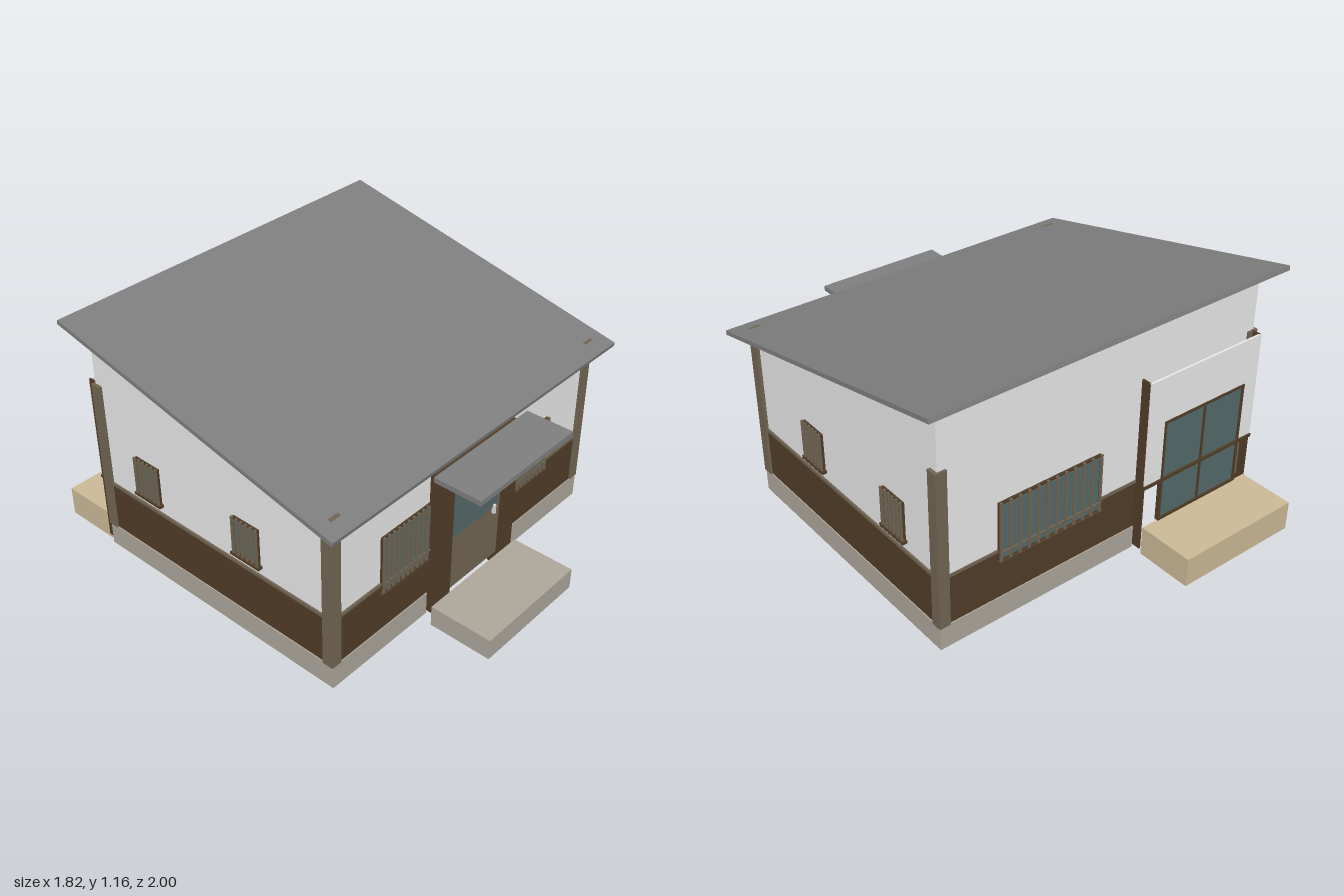
import * as THREE from 'three';

const mat = (name, color, side = THREE.FrontSide) => {
  const m = new THREE.MeshStandardMaterial({ color, side });
  m.name = name;
  return m;
};

export function createModel() {
  const house = new THREE.Group();
  house.name = 'house';
  const white = mat('white plaster', 0xe8e8e8);
  const brown = mat('dark brown', 0x503c28);
  const taupe = mat('taupe wood', 0x706553);
  const grey = mat('roof grey', 0x7e7e7e);
  const stone = mat('stone', 0xaca59a, THREE.DoubleSide);
  const sand = mat('sand step', 0xcab896, THREE.DoubleSide);
  const glass = mat('glass', 0x546868);
  const pale = mat('pale fittings', 0xd8d8d8);

  // Box given by its limits on each axis
  const box = (name, m, [x0, x1], [y0, y1], [z0, z1], parent = house) => {
    const mesh = new THREE.Mesh(new THREE.BoxGeometry(x1 - x0, y1 - y0, z1 - z0), m);
    mesh.position.set((x0 + x1) / 2, (y0 + y1) / 2, (z0 + z1) / 2);
    mesh.name = name;
    parent.add(mesh);
    return mesh;
  };

  // Hollow step without an underside
  const step = (name, m, x, y, z) => {
    const g = box(name, m, x, y, z).geometry;
    const index = Array.from(g.index.array);
    index.splice(18, 6);
    g.clearGroups();
    g.setIndex(index);
  };

  // Foundation, with gaps at the two doors
  const baseY = [0.015, 0.125];
  for (const s of [-1, 1]) {
    box('foundationSide', stone, s < 0 ? [-0.835, -0.82] : [0.82, 0.835], baseY, [-0.685, 0.65]);
    box('foundationFront', stone, s < 0 ? [-0.82, -0.26] : [0.26, 0.82], baseY, [0.635, 0.65]);
  }
  box('foundationBack', stone, [-0.18, 0.82], baseY, [-0.685, -0.67]);

  // Brown lower walls and the trim above them
  const lowY = [0.125, 0.36], trimY = [0.355, 0.369];
  box('lowerWallFront', brown, [-0.83, 0.83], lowY, [0.633, 0.645]);
  box('lowerWallBack', brown, [-0.18, 0.83], lowY, [-0.68, -0.668]);
  box('trimFront', taupe, [-0.8, 0.8], trimY, [0.638, 0.649]);
  box('trimBack', taupe, [-0.18, 0.8], trimY, [-0.685, -0.674]);
  for (const s of [-1, 1]) {
    const span = (a, b) => (s < 0 ? [-b, -a] : [a, b]);
    box('lowerWallSide', brown, span(0.818, 0.83), lowY, [-0.68, 0.645]);
    box('trimSide', taupe, span(0.822, 0.834), trimY, [-0.65, 0.62]);
  }

  // White upper walls; the side walls follow the roof slope
  box('upperWallFront', white, [-0.825, 0.825], [0.36, 0.842], [0.63, 0.64]);
  box('upperWallBack', white, [-0.825, 0.825], [0.36, 1.135], [-0.68, -0.67]);
  const profile = new THREE.Shape([[-0.64, 0.36], [0.68, 0.36], [0.68, 1.135], [-0.64, 0.842]]
    .map(([x, y]) => new THREE.Vector2(x, y)));
  const sideGeo = new THREE.ExtrudeGeometry(profile, { depth: 0.01, bevelEnabled: false });
  for (const x of [-0.825, 0.815]) {
    const wall = new THREE.Mesh(sideGeo, white);
    wall.name = 'upperWallSide';
    wall.rotation.y = Math.PI / 2;
    wall.position.x = x;
    house.add(wall);
  }

  // Corner posts
  for (const s of [-1, 1]) {
    const x = s < 0 ? [-0.84, -0.788] : [0.788, 0.84];
    box('frontPost', taupe, x, [0.125, 0.859], [0.6, 0.652]);
    box('backPost', taupe, x, [0.125, 0.86], [-0.69, -0.64]);
  }

  // Sloping roof
  const rise = 0.325, run = 1.485;
  const roof = new THREE.Mesh(new THREE.BoxGeometry(1.82, 0.02, Math.hypot(rise, run)), grey);
  roof.name = 'roof';
  roof.rotation.x = Math.atan2(rise, run);
  roof.position.set(0, 0.9925, -0.02);
  house.add(roof);

  // Barred window, built facing +z and then turned onto its wall
  const barredWindow = (x, z, turn, w, y0, bars) => {
    const g = new THREE.Group();
    g.name = 'barredWindow';
    const h = w / 2, top = 0.6;
    box('windowFrame', brown, [-h, h], [y0, top - 0.005], [-0.03, 0.009], g);
    box('windowGlass', glass, [-h + 0.012, h - 0.012], [y0 + 0.015, top - 0.018], [-0.034, 0.012], g);
    box('windowSill', brown, [-h - 0.01, h + 0.01], [y0 - 0.005, y0 + 0.007], [0, 0.023], g);
    for (let i = 0; i < bars; i++) {
      const c = -h + 0.005 + (w - 0.01) * i / (bars - 1);
      box('windowBar', taupe, [c - 0.005, c + 0.005], [y0, top], [0.012, 0.021], g);
    }
    if (w > 0.2) box('crossBar', taupe, [-h, h], [y0 + 0.045, y0 + 0.053], [0.012, 0.019], g);
    g.position.set(x, 0, z);
    g.rotation.y = turn;
    house.add(g);
  };
  for (const s of [-1, 1]) {
    barredWindow(s * 0.37, 0.64, 0, 0.36, 0.315, 13);
    for (const z of [0.19, -0.39]) barredWindow(s * 0.825, z, s * Math.PI / 2, 0.14, 0.41, 6);
  }
  barredWindow(0.29, -0.68, Math.PI, 0.52, 0.31, 12);

  // Front entrance
  for (const x of [[-0.26, -0.17], [0.17, 0.26]]) box('doorJamb', brown, x, [0.03, 0.75], [0.645, 0.7]);
  box('doorHeader', brown, [-0.17, 0.17], [0.65, 0.75], [0.645, 0.7]);
  box('frontDoor', taupe, [-0.17, 0.17], [0.1, 0.65], [0.648, 0.685]);
  box('doorGlass', glass, [-0.15, 0.147], [0.375, 0.62], [0.68, 0.689]);
  box('doorHandle', pale, [0.117, 0.127], [0.345, 0.39], [0.685, 0.7]);
  box('wallLamp', pale, [0.21, 0.255], [0.61, 0.663], [0.7, 0.75]);
  box('doorCanopy', grey, [-0.305, 0.305], [0.75, 0.774], [0.695, 0.92]);
  step('frontStep', stone, [-0.29, 0.29], [0, 0.1], [0.7, 1]);

  // Back portal: brown cheeks and a white panel around the glass door
  for (const x of [[-0.82, -0.812], [-0.188, -0.18]]) box('portalCheek', brown, x, [0.03, 0.86], [-0.728, -0.68]);
  box('portalTop', white, [-0.82, -0.18], [0.64, 0.86], [-0.732, -0.722]);
  for (const x of [[-0.82, -0.74], [-0.28, -0.18]]) box('portalSide', white, x, [0.36, 0.64], [-0.732, -0.722]);
  box('portalTrim', brown, [-0.82, -0.18], [0.345, 0.36], [-0.738, -0.722]);
  box('backDoorGlass', glass, [-0.74, -0.28], [0.15, 0.64], [-0.729, -0.719]);
  for (const x of [[-0.745, -0.733], [-0.515, -0.505], [-0.287, -0.275]]) {
    box('backDoorStile', brown, x, [0.15, 0.645], [-0.735, -0.716]);
  }
  for (const y of [[0.14, 0.153], [0.633, 0.645]]) box('backDoorRail', brown, [-0.745, -0.275], y, [-0.737, -0.715]);
  step('backStep', sand, [-0.81, -0.19], [0, 0.14], [-1, -0.73]);

  return house;
}
